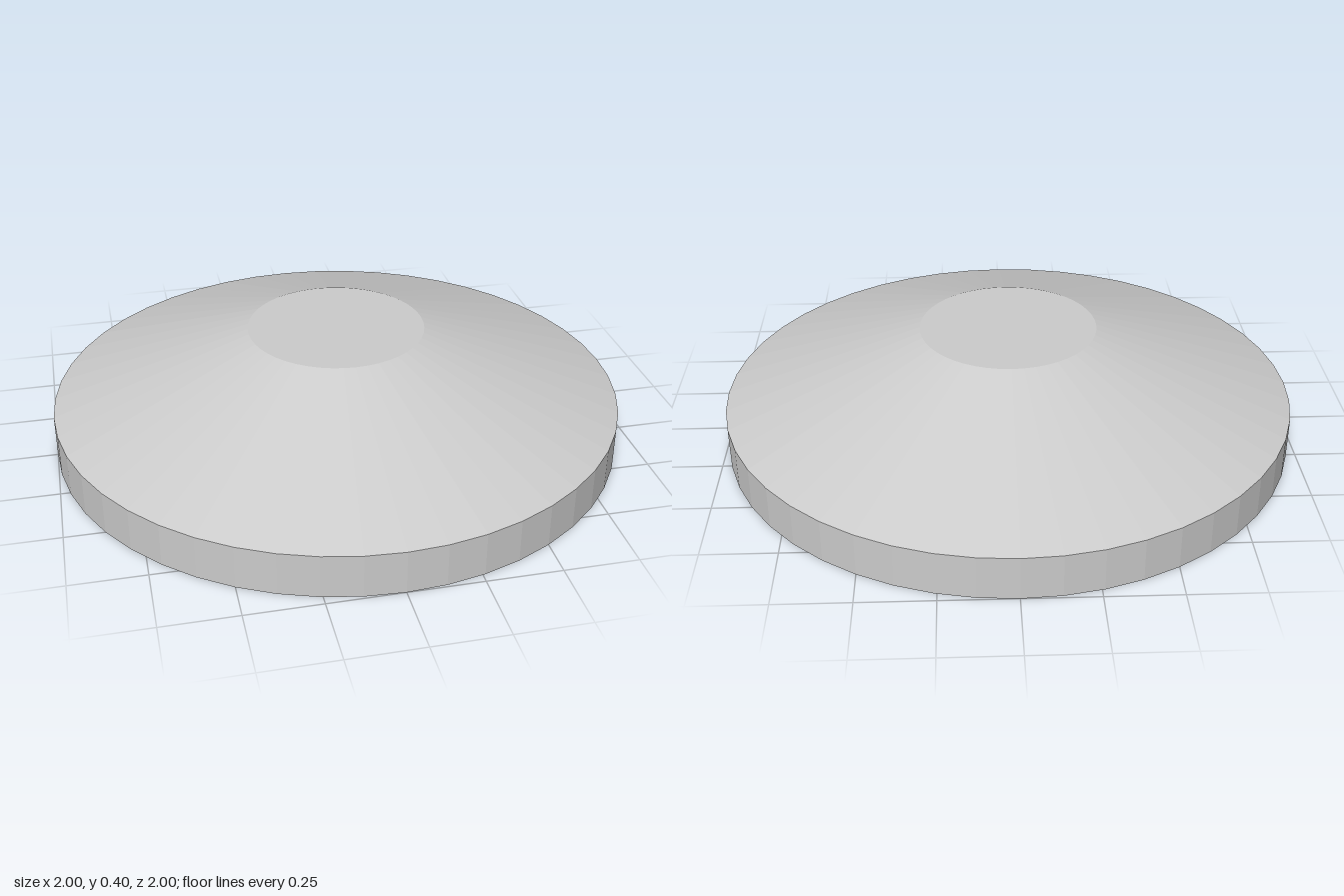
import * as THREE from 'three';

const SIDES = 48;

export function createModel() {
  const model = new THREE.Group();
  model.name = 'taperedDisc';
  const material = new THREE.MeshStandardMaterial({ color: 0xcccccc, flatShading: true });

  // Adds one faceted ring wall between two heights
  function addWall(name, topRadius, bottomRadius, y0, y1) {
    const geometry = new THREE.CylinderGeometry(topRadius, bottomRadius, y1 - y0, SIDES, 1, true);
    const mesh = new THREE.Mesh(geometry, material);
    mesh.name = name;
    mesh.position.y = (y0 + y1) / 2;
    model.add(mesh);
  }

  // Adds a flat round face, turned up or down
  function addCap(name, radius, y, up) {
    const mesh = new THREE.Mesh(new THREE.CircleGeometry(radius, SIDES), material);
    mesh.name = name;
    mesh.rotation.x = up ? -Math.PI / 2 : Math.PI / 2;
    mesh.position.y = y;
    model.add(mesh);
  }

  addWall('rim', 1, 1, 0, 0.15);
  addWall('slope', 0.31, 1, 0.15, 0.4);
  addCap('topFace', 0.31, 0.4, true);
  addCap('underside', 1, 0, false);

  return model;
}
